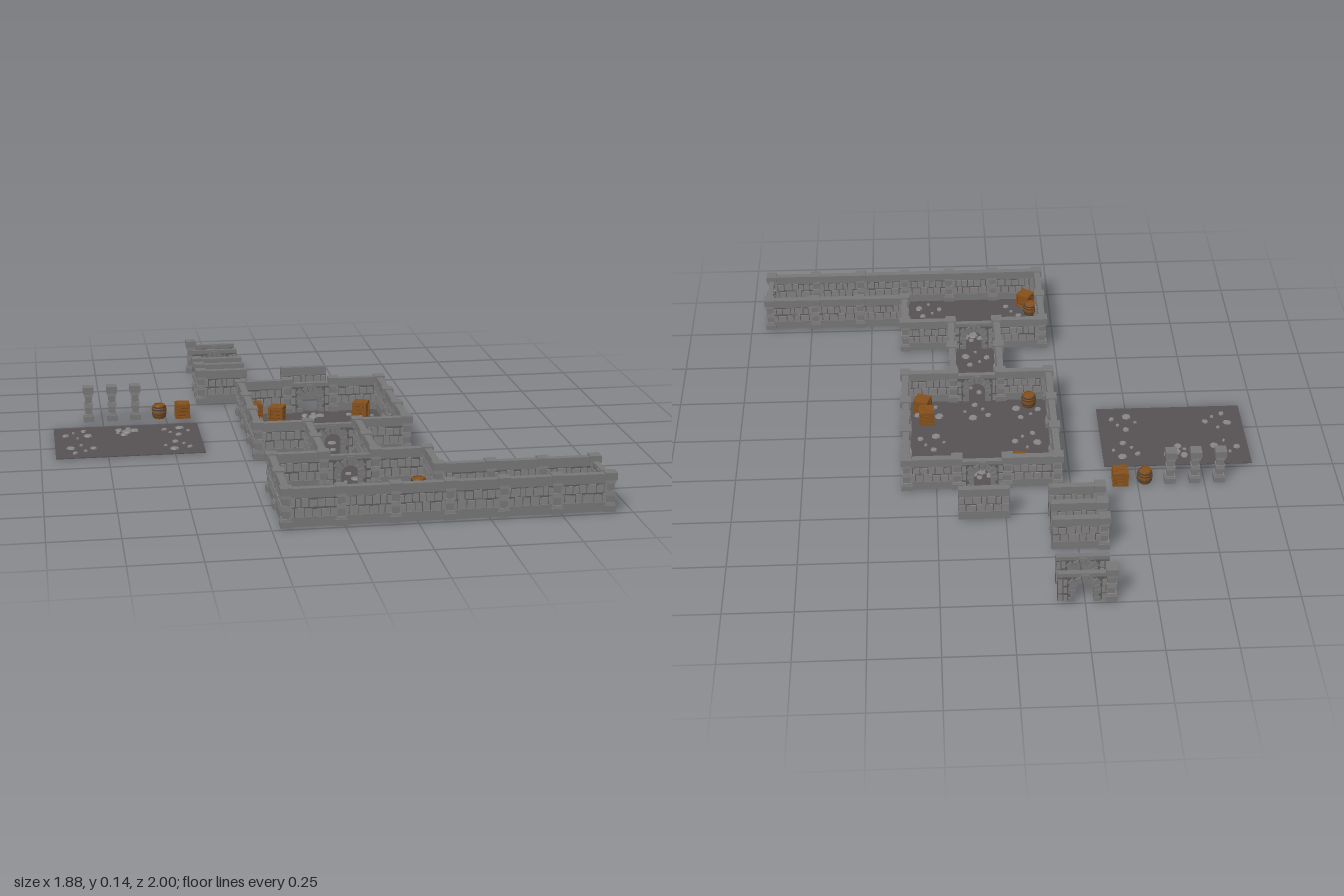
import * as THREE from 'three';

const CELL = 0.1865, X0 = -0.2, Z0 = -0.33, FLOOR = 0.004;
const mat = (color, side = THREE.FrontSide) => new THREE.MeshStandardMaterial({ color, side, flatShading: true });
const M = {
  stone: mat(0x777777), brick: mat(0x828080), dark: mat(0x5c5a5a), floor: mat(0x565153), rubble: mat(0x878585),
  wood: mat(0x85501c), darkWood: mat(0x5c3410), iron: mat(0x4a4038),
};
const unitBox = new THREE.BoxGeometry(1, 1, 1);
const rubbleGeo = new THREE.CylinderGeometry(0.75, 1, 1, 6);

let seed = 7;
const rand = () => (seed = (seed * 16807) % 2147483647) / 2147483647;

function group(name, parent, x = 0, y = 0, z = 0, turn = 0) {
  const g = new THREE.Group();
  g.name = name;
  g.position.set(x, y, z);
  g.rotation.y = turn;
  parent.add(g);
  return g;
}
function mesh(name, parent, geo, material, x = 0, y = 0, z = 0) {
  const m = new THREE.Mesh(geo, material);
  m.name = name;
  m.position.set(x, y, z);
  parent.add(m);
  return m;
}
// box given by centre x, bottom y, centre z and size
function box(name, parent, material, x, y, z, w, h, d) {
  const m = mesh(name, parent, unitBox, material, x, y + h / 2, z);
  m.scale.set(w, h, d);
  return m;
}

// a row of uneven bricks showing on both faces of a wall
function brickRow(parent, from, to, y, h, count) {
  const step = (to - from) / count;
  let a = from;
  for (let i = 0; i < count; i++) {
    const b = i === count - 1 ? to : from + step * (i + 1) + (rand() - 0.5) * step * 0.4;
    box('brick', parent, M.brick, (a + b) / 2, y + 0.001, 0, b - a - 0.003, h - 0.002 - rand() * 0.007, 0.019 + rand() * 0.005);
    a = b;
  }
}

// straight wall: plinth, two courses of bricks, cap
function wall(parent, x, z, turn) {
  const g = group('wall', parent, x, FLOOR, z, turn), L = CELL;
  box('wallCore', g, M.dark, 0, 0, 0, L, 0.12, 0.015);
  box('plinth', g, M.stone, 0, 0, 0, L, 0.034, 0.023);
  brickRow(g, -L / 2, L / 2, 0.034, 0.034, 6);
  brickRow(g, -L / 2, L / 2, 0.068, 0.034, 7);
  box('wallCap', g, M.stone, 0, 0.102, 0, L, 0.034, 0.025);
}

// lower wall with an arched opening framed by wedge stones
function doorWall(parent, x, z, turn) {
  const g = group('doorWall', parent, x, FLOOR, z, turn);
  const W = CELL / 2, H = 0.12, R = 0.033, spring = 0.052;
  const s = new THREE.Shape();
  s.moveTo(-W, 0);
  s.lineTo(-R, 0);
  s.lineTo(-R, spring);
  s.absarc(0, spring, R, Math.PI, 0, true);
  s.lineTo(R, 0);
  s.lineTo(W, 0);
  s.lineTo(W, H);
  s.lineTo(-W, H);
  const geo = new THREE.ExtrudeGeometry(s, { depth: 0.018, bevelEnabled: false, curveSegments: 7 });
  mesh('doorWallBody', g, geo.translate(0, 0, -0.009), M.dark);
  for (const side of [-1, 1]) {
    for (let i = 0; i < 3; i++) {
      const w = i % 2 ? 0.017 : 0.024;
      box('jambStone', g, M.stone, side * (R + w / 2 - 0.001), i * 0.0173, 0, w, 0.0163, 0.03);
    }
    const ends = [side * 0.059, side * W].sort((p, q) => p - q);
    for (let r = 0; r < 3; r++) brickRow(g, ends[0], ends[1], r * 0.034, 0.034, 2);
  }
  for (let i = 0; i < 7; i++) {
    const a0 = Math.PI * i / 7 + 0.03, a1 = Math.PI * (i + 1) / 7 - 0.03;
    const out = i % 2 ? 0.066 : 0.057;
    const v = new THREE.Shape([[a0, R - 0.001], [a0, out], [a1, out], [a1, R - 0.001]]
      .map(([a, r]) => new THREE.Vector2(Math.cos(a) * r, Math.sin(a) * r)));
    const wedge = new THREE.ExtrudeGeometry(v, { depth: 0.03, bevelEnabled: false });
    mesh('archStone', g, wedge.translate(0, 0, -0.015), M.stone, 0, spring, 0);
  }
  box('doorWallCap', g, M.stone, 0, 0.105, 0, CELL, 0.016, 0.02);
}

// square pillar: stepped base, block shaft, capital
function pillar(parent, x, z) {
  const g = group('pillar', parent, x, FLOOR, z);
  [[0, 0.022, 0.041], [0.022, 0.01, 0.034], [0.032, 0.026, 0.027], [0.058, 0.018, 0.033],
    [0.076, 0.026, 0.027], [0.102, 0.012, 0.034], [0.114, 0.027, 0.042]]
    .forEach(([y, h, w], i) => box('pillarBlock', g, i % 2 ? M.brick : M.stone, 0, y, 0, w, h, w));
}

// scattered stones: [x, z, radius] inside one cell
const SCATTER = [[-0.05, 0.01, 0.016], [0.02, -0.04, 0.015], [0.035, 0.02, 0.021], [-0.02, -0.02, 0.009], [-0.005, 0.05, 0.009]];
const CLUSTER = [[0, 0, 0.024], [-0.03, -0.022, 0.02], [0.03, -0.012, 0.022], [-0.012, 0.035, 0.018], [0.008, -0.037, 0.014], [-0.035, 0.015, 0.01]];
function rubble(parent, x, z, list, turn) {
  const g = group('rubble', parent, x, 0, z, turn);
  for (const [px, pz, r] of list) {
    const m = mesh('floorStone', g, rubbleGeo, M.rubble, px, 0.005, pz);
    m.scale.set(r, 0.01, r * (0.75 + rand() * 0.25));
    m.rotation.y = rand() * 6;
  }
}
function floorSlab(parent, x0, z0, x1, z1) {
  box('floor', parent, M.floor, (x0 + x1) / 2, 0.002, (z0 + z1) / 2, x1 - x0, 0.003, z1 - z0);
}

function crate(parent, x, z, turn) {
  const g = group('crate', parent, x, FLOOR, z, turn), s = 0.056, h = s / 2;
  box('crateBody', g, M.darkWood, 0, 0.003, 0, s - 0.006, s - 0.006, s - 0.006);
  for (const a of [-1, 1]) for (const b of [-1, 1]) {
    box('cratePost', g, M.wood, a * (h - 0.003), 0, b * (h - 0.003), 0.008, s, 0.008);
    box('crateRail', g, M.wood, 0, a > 0 ? s - 0.008 : 0, b * (h - 0.003), s, 0.008, 0.007);
    box('crateRail', g, M.wood, b * (h - 0.003), a > 0 ? s - 0.008 : 0, 0, 0.007, 0.008, s);
  }
  for (let i = 0; i < 4; i++) {
    const o = (i - 1.5) * 0.0142;
    box('topPlank', g, M.wood, 0, s - 0.003, o, s, 0.006, 0.0125);
    for (const b of [-1, 1]) {
      box('sidePlank', g, M.wood, 0, h + o - 0.0062, b * (h - 0.0035), s - 0.008, 0.0125, 0.003);
      box('sidePlank', g, M.wood, b * (h - 0.0035), h + o - 0.0062, 0, 0.003, 0.0125, s - 0.008);
    }
  }
}

function barrel(parent, x, z) {
  const g = group('barrel', parent, x, FLOOR, z);
  const pts = [[0, 0], [0.022, 0], [0.027, 0.015], [0.029, 0.028], [0.027, 0.041], [0.022, 0.056], [0.019, 0.056], [0.019, 0.052], [0, 0.052]];
  mesh('barrelBody', g, new THREE.LatheGeometry(pts.map(p => new THREE.Vector2(...p)), 12), M.wood);
  for (const y of [0.009, 0.019, 0.037, 0.047]) {
    const r = y > 0.012 && y < 0.04 ? 0.0295 : 0.0268;
    mesh('barrelHoop', g, new THREE.CylinderGeometry(r, r, 0.005, 12), M.iron, 0, y, 0);
  }
}

export function createModel() {
  const root = new THREE.Group();
  root.name = 'dungeon';
  const gx = i => X0 + i * CELL, gz = j => Z0 + j * CELL;
  const posts = new Set();

  // wall runs on the grid: [axis, i, j, cells, index of the door cell]
  const walls = group('walls', root);
  const runs = [
    ['x', 0, 0, 3, 1], ['x', 0, 3, 3, 1], ['z', 0, 0, 3, -1], ['z', 3, 0, 3, -1],
    ['z', 1, 3, 2, -1], ['z', 2, 3, 2, -1],
    ['x', 0, 5, 3, 1], ['z', 0, 5, 2, -1], ['z', 3, 5, 1, -1],
    ['x', 0, 7, 6, -1], ['x', 3, 6, 3, -1], ['z', 6, 6, 1, 0],
  ];
  for (const [axis, i, j, n, door] of runs) for (let k = 0; k <= n; k++) {
    const ax = axis === 'x';
    posts.add(`${i + (ax ? k : 0)},${j + (ax ? 0 : k)}`);
    if (k === n) continue;
    const build = k === door ? doorWall : wall;
    build(walls, gx(i + (ax ? k + 0.5 : 0)), gz(j + (ax ? 0 : k + 0.5)), ax ? 0 : Math.PI / 2);
  }
  const pillars = group('pillars', root);
  for (const p of posts) {
    const [i, j] = p.split(',').map(Number);
    pillar(pillars, gx(i), gz(j));
  }

  // floors and their rubble
  const floors = group('floors', root);
  for (const [a, b, c, d] of [[0, 0, 3, 3], [1, 3, 2, 5], [0, 5, 3, 7], [3, 6, 6, 7]]) floorSlab(floors, gx(a), gz(b), gx(c), gz(d));
  floorSlab(floors, -0.945, -0.235, -0.385, 0.138);
  [[0, 0], [2, 0], [0, 1], [2, 1], [0, 2], [1, 2], [2, 2], [1, 3], [1, 4], [0, 5], [2, 5], [0, 6], [2, 6], [3, 6], [5, 6]]
    .forEach(([i, j], k) => rubble(floors, gx(i + 0.5), gz(j + 0.5), SCATTER, k * Math.PI / 2));
  for (const j of [0, 5]) rubble(floors, gx(1.5), gz(j + 0.45), CLUSTER, 0);
  [[0, 0], [2, 0], [0, 1], [2, 1]].forEach(([i, j], k) =>
    rubble(floors, -0.945 + (i + 0.5) * CELL, -0.235 + (j + 0.5) * CELL, SCATTER, k * Math.PI / 2));
  rubble(floors, -0.665, -0.155, CLUSTER, 0);

  // spare wall pieces and pillars behind the rooms
  const spares = group('sparePieces', root);
  for (const z of [-0.98, -0.7, -0.61, -0.515]) pillar(spares, -0.34, z);
  for (const z of [-0.98, -0.89]) doorWall(spares, -0.247, z, 0);
  for (const z of [-0.7, -0.61, -0.515]) wall(spares, -0.247, z, 0);
  wall(spares, 0.08, -0.515, 0);
  for (const x of [-0.804, -0.712, -0.62]) pillar(spares, x, -0.33);

  // crates and barrels
  const props = group('props', root);
  for (const [x, z, t] of [[-0.15, -0.283, 0.06], [-0.066, -0.23, -0.4], [0.272, -0.246, -0.4], [0.28, 0.087, 0],
    [0.296, 0.161, -0.35], [-0.15, 0.918, -0.6], [-0.434, -0.33, 0]]) crate(props, x, z, t);
  for (const [x, z] of [[-0.122, 0.177], [0.31, 0.701], [-0.167, 0.844], [-0.526, -0.33]]) barrel(props, x, z);
  return root;
}
